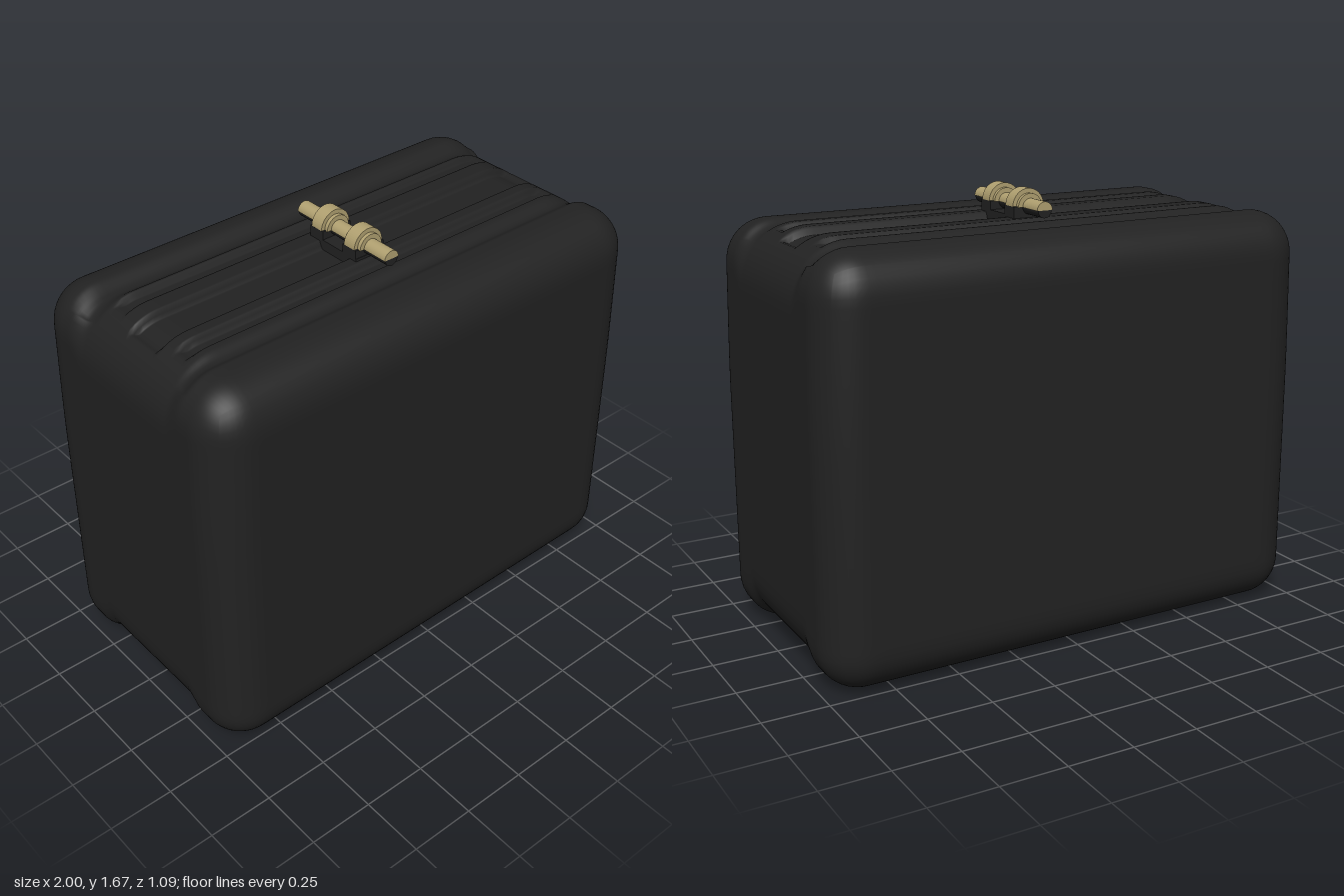
import * as THREE from 'three';
import { mergeVertices } from 'three/addons/utils/BufferGeometryUtils.js';

const { clamp, smoothstep } = THREE.MathUtils;

// Slots pressed into the top: z from, z to, half length, depth
const SLOTS = [
  [-0.215, -0.15, 0.86, 0.02],
  [-0.07, 0.083, 0.9, 0.03],
  [0.145, 0.205, 0.86, 0.025],
];

// How far the top sinks at x, z
function sink(x, z) {
  let d = 0;
  for (const [a, b, half, depth] of SLOTS) {
    const across = smoothstep(z, a - 0.005, a + 0.006) * (1 - smoothstep(z, b - 0.006, b + 0.005));
    d = Math.max(d, depth * across * (1 - smoothstep(Math.abs(x), half - 0.025, half + 0.015)));
  }
  // valleys between the shoulders and the raised middle; the rear one is wider
  const reach = 1 - smoothstep(Math.abs(x), 0.82, 0.98) * 0.4;
  const v = z < 0 ? 1 - smoothstep(Math.abs(z + 0.295), 0.005, 0.075)
    : 1 - smoothstep(Math.abs(z - 0.285), 0.004, 0.05);
  return d + reach * v * (z < 0 ? 0.03 : 0.018);
}

// Rounded case; the end edges are rounder between the two shoulders
function caseGeometry() {
  const h = new THREE.Vector3(1, 0.78, 0.535);
  const g = new THREE.BoxGeometry(2, 1.56, 1.07, 72, 44, 140);
  g.deleteAttribute('normal');
  g.deleteAttribute('uv');
  const pos = g.attributes.position;
  const p = new THREE.Vector3(), inner = new THREE.Vector3();
  for (let i = 0; i < pos.count; i++) {
    p.fromBufferAttribute(pos, i);
    const onTop = p.y > 0.779;
    const r = 0.16 + 0.06 * (1 - smoothstep(Math.abs(p.z), 0.24, 0.33));
    inner.set(
      clamp(p.x, r - h.x, h.x - r),
      clamp(p.y, r - h.y, h.y - r),
      clamp(p.z, r - h.z, h.z - r),
    );
    p.sub(inner).setLength(r).add(inner);
    if (onTop) p.y -= sink(p.x, p.z);
    p.x *= 1 - 0.012 * smoothstep(p.y, 0.1, 0.8);
    p.z -= 0.011 * p.x;
    pos.setXYZ(i, p.x, p.y + 0.78, p.z);
  }
  const merged = mergeVertices(g, 1e-5);
  merged.computeVertexNormals();
  return merged;
}

export function createModel() {
  const model = new THREE.Group();
  const black = new THREE.MeshStandardMaterial({ color: 0x222222 });
  black.name = 'black';
  const brass = new THREE.MeshStandardMaterial({ color: 0xb0a070 });
  brass.name = 'brass';

  const add = (name, geometry, material, x = 0, y = 0, z = 0) => {
    const mesh = new THREE.Mesh(geometry, material);
    mesh.name = name;
    mesh.position.set(x, y, z);
    model.add(mesh);
    return mesh;
  };

  add('case', caseGeometry(), black);

  // Half-round extrusion along z, centred
  const halfRound = (r, length, hole = 0, lower = false) => {
    const s = new THREE.Shape();
    s.absarc(0, 0, r, lower ? Math.PI : 0, lower ? 2 * Math.PI : Math.PI, false);
    if (hole) s.absarc(0, 0, hole, Math.PI, 0, true);
    s.closePath();
    const g = new THREE.ExtrudeGeometry(s, { depth: length, bevelEnabled: false, curveSegments: 14 });
    return g.translate(0, 0, -length / 2);
  };

  // Crossbar: brass above, black below
  add('crossbar', halfRound(0.032, 0.48), brass, 0, 1.6, 0);
  add('crossbarUnderside', halfRound(0.028, 0.48, 0, true), black, 0, 1.6, 0);

  // Two rings over the bar, each on a black foot
  for (const z of [0.088, -0.092]) {
    add('ring', halfRound(0.065, 0.055, 0.028), brass, 0, 1.602, z);
    add('ringCollar', halfRound(0.05, 0.085, 0.028), brass, 0, 1.6, z);
    add('ringFoot', new THREE.BoxGeometry(0.13, 0.06, 0.07), black, 0, 1.573, z);
  }
  // Base joining the feet to the case
  add('base', new THREE.BoxGeometry(0.13, 0.05, 0.25), black, 0, 1.545, 0);
  return model;
}
